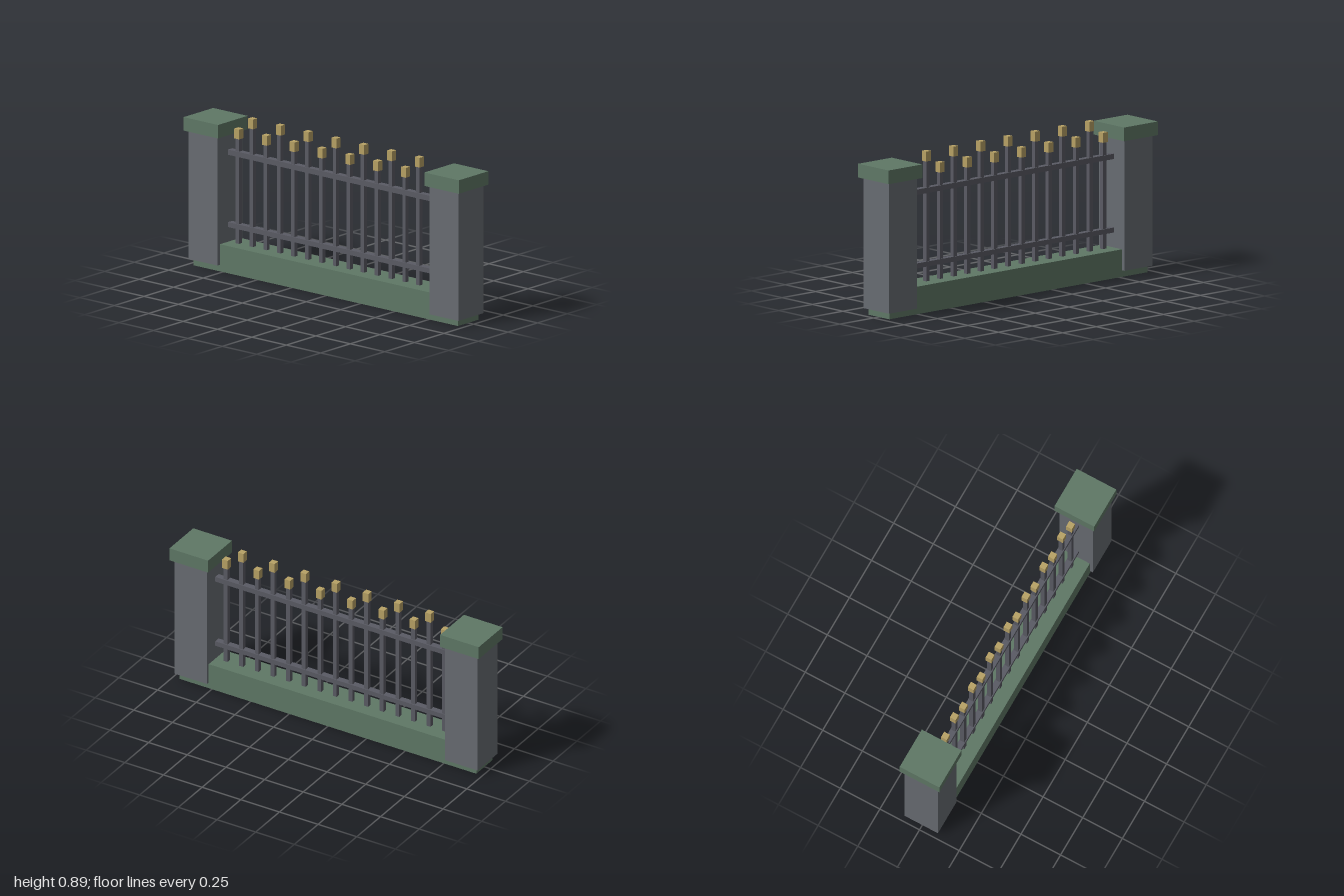
import * as THREE from 'three';

const paint = (color) => new THREE.MeshStandardMaterial({ color });

export function createModel() {
  const fence = new THREE.Group();
  fence.name = 'fence';
  const green = paint(0x5f7866);
  const stone = paint(0x686c72);
  const iron = paint(0x5a5b64);
  const gold = paint(0xb8a265);

  // Box centred on x and z = 0, spanning y0 to y1
  function block(name, material, x, y0, y1, width, depth, parent = fence) {
    const mesh = new THREE.Mesh(new THREE.BoxGeometry(width, y1 - y0, depth), material);
    mesh.position.set(x, (y0 + y1) / 2, 0);
    mesh.name = name;
    parent.add(mesh);
  }

  // Low wall running under both pillars
  block('baseWall', green, 0, 0, 0.155, 1.92, 0.172);

  // Pillars with overhanging caps
  for (const [side, s] of [['left', 1], ['right', -1]]) {
    const pillar = new THREE.Group();
    pillar.name = side + 'Pillar';
    block('shaft', stone, s * 0.875, 0.037, 0.771, 0.21, 0.21, pillar);
    block('cap', green, s * 0.875, 0.771, 0.848, 0.25, 0.25, pillar);
    fence.add(pillar);
  }

  // Horizontal rails between the pillars
  block('lowerRail', iron, 0, 0.239, 0.267, 1.54, 0.036);
  block('upperRail', iron, 0, 0.652, 0.682, 1.54, 0.036);

  // Upright bars, alternately short and tall, each with a square finial
  const count = 15;
  for (let i = 0; i < count; i++) {
    const x = -0.707 + (i * 1.414) / (count - 1);
    const top = i % 2 ? 0.886 : 0.81;
    const bar = new THREE.Group();
    bar.name = 'bar' + (i + 1);
    block('post', iron, x, 0.15, top - 0.055, 0.025, 0.025, bar);
    block('finial', gold, x, top - 0.056, top, 0.036, 0.036, bar);
    fence.add(bar);
  }
  return fence;
}
